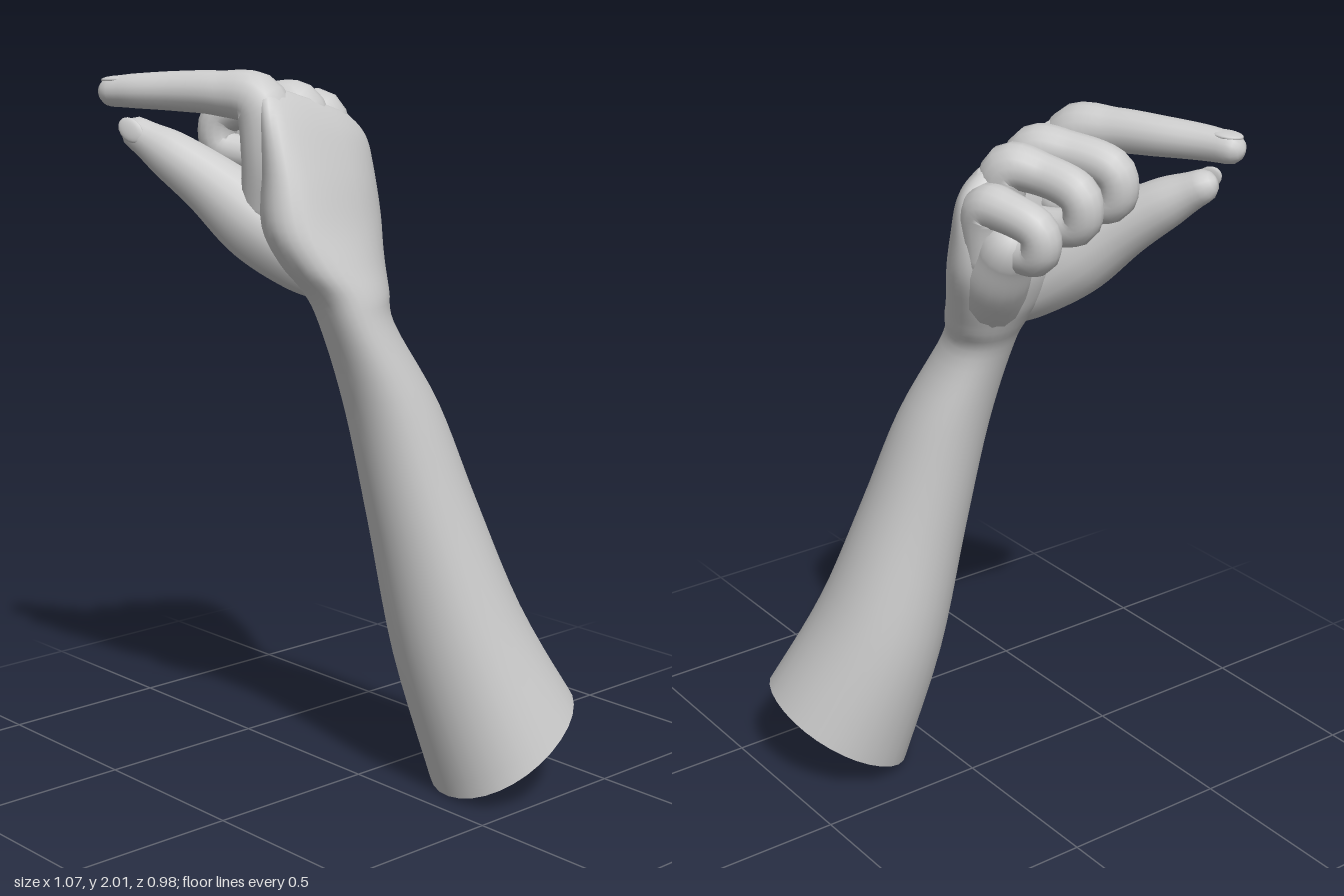
import * as THREE from 'three';

const material = new THREE.MeshStandardMaterial({ color: 0xcccccc, side: THREE.DoubleSide });

// Smooth interpolation through rows of numbers, t in 0..1
function spline(rows, t) {
  const n = rows.length - 1;
  const i = Math.min(Math.floor(t * n), n - 1);
  const f = t * n - i;
  const a = rows[Math.max(i - 1, 0)], b = rows[i], c = rows[i + 1], d = rows[Math.min(i + 2, n)];
  return b.map((v, k) => v + 0.5 * f * (c[k] - a[k] + f * (2 * a[k] - 5 * v + 4 * c[k] - d[k]
    + f * (3 * (v - c[k]) + d[k] - a[k]))));
}

// Skin over a list of closed rings with equal point counts
function loft(name, rings) {
  const n = rings[0].length, index = [];
  for (let i = 0; i < rings.length - 1; i++) {
    for (let j = 0; j < n; j++) {
      const k = (j + 1) % n;
      const a = i * n + j, b = i * n + k, c = a + n, d = b + n;
      index.push(a, c, b, b, c, d);
    }
  }
  const geometry = new THREE.BufferGeometry().setFromPoints(rings.flat());
  geometry.setIndex(index);
  geometry.computeVertexNormals();
  const mesh = new THREE.Mesh(geometry, material);
  mesh.name = name;
  return mesh;
}

// All points of a ring drawn in to its centre
function collapse(ring) {
  const centre = new THREE.Vector3();
  ring.forEach((p) => centre.addScaledVector(p, 1 / ring.length));
  return ring.map(() => centre.clone());
}

// Cross-section: height, x range, z range, slopes in x and z, diagonal lean, squareness
function armRing([y, x0, x1, z0, z1, slopeX, slopeZ, lean, power], sides = 32) {
  const bend = (v) => Math.sign(v) * Math.abs(v) ** power;
  return Array.from({ length: sides }, (_, j) => {
    const a = (j / sides) * Math.PI * 2;
    const dx = bend(Math.cos(a)) * (x1 - x0) / 2;
    const dz = bend(Math.sin(a + lean)) * (z1 - z0) / 2;
    return new THREE.Vector3((x0 + x1) / 2 + dx, y + slopeX * dx + slopeZ * dz, (z0 + z1) / 2 + dz);
  });
}

// Round-ended finger through points [x, y, z, radius]
function finger(name, points, sides = 16, steps = 36) {
  const curve = new THREE.CatmullRomCurve3(points.map((p) => new THREE.Vector3(p[0], p[1], p[2])));
  const frames = curve.computeFrenetFrames(steps);
  const rings = [];
  const add = (i, scale, shift) => {
    const u = i / steps;
    const r = spline(points.map((p) => [p[3]]), curve.getUtoTmapping(u))[0];
    const centre = curve.getPointAt(u).addScaledVector(frames.tangents[i], shift * r);
    rings.push(Array.from({ length: sides }, (_, j) => {
      const a = (j / sides) * Math.PI * 2;
      return centre.clone()
        .addScaledVector(frames.normals[i], Math.cos(a) * r * scale)
        .addScaledVector(frames.binormals[i], -Math.sin(a) * r * scale);
    }));
  };
  const dome = [0, 0.3, 0.6, 0.85, 1].map((v) => v * Math.PI / 2);
  [...dome].reverse().forEach((a) => add(0, Math.cos(a), -Math.sin(a)));
  for (let i = 1; i < steps; i++) add(i, 1, 0);
  dome.forEach((a) => add(steps, Math.cos(a), Math.sin(a)));
  return loft(name, rings);
}

// Flat oval nail lying on a fingertip
function nail(name, position, along, normal, length, width) {
  const mesh = new THREE.Mesh(new THREE.SphereGeometry(1, 16, 10), material);
  const x = new THREE.Vector3(...along).normalize();
  const z = new THREE.Vector3().crossVectors(x, new THREE.Vector3(...normal)).normalize();
  const y = new THREE.Vector3().crossVectors(z, x);
  mesh.quaternion.setFromRotationMatrix(new THREE.Matrix4().makeBasis(x, y, z));
  mesh.scale.set(length, 0.01, width);
  mesh.position.set(...position);
  mesh.name = name;
  return mesh;
}

export function createModel() {
  const group = new THREE.Group();
  group.name = 'forearmAndHand';

  // Forearm, wrist and palm in one skin, from the open end to the knuckles
  const rows = [
    [0.125, 0.065, 0.535, -0.49, -0.065, 0.24, -0.6, 0.2, 0.97],
    [0.45, 0.005, 0.435, -0.36, 0.015, 0.15, -0.4, 0.2, 1],
    [0.8, -0.01, 0.345, -0.245, 0.075, 0.05, -0.25, 0.2, 1],
    [1.1, -0.035, 0.275, -0.155, 0.13, 0, -0.1, 0.25, 1],
    [1.33, -0.075, 0.215, -0.06, 0.2, 0, 0, 0.45, 1],
    [1.42, -0.12, 0.195, -0.075, 0.235, 0, 0, 0.45, 1],
    [1.5, -0.16, 0.165, -0.1, 0.295, 0, 0, 0.43, 1],
    [1.6, -0.19, 0.125, -0.13, 0.335, 0, 0, 0.45, 0.97],
    [1.72, -0.185, 0.08, -0.135, 0.325, 0, 0.1, 0.5, 0.92],
    [1.83, -0.165, 0.025, -0.13, 0.315, 0, 0.22, 0.5, 0.9],
    [1.89, -0.155, -0.02, -0.11, 0.295, 0, 0.3, 0.45, 0.9],
    [1.92, -0.135, -0.055, -0.06, 0.26, 0, 0.3, 0.4, 0.95],
  ];
  const rings = Array.from({ length: 56 }, (_, i) => armRing(spline(rows, i / 55)));
  group.add(loft('forearmAndPalm', [...rings, collapse(rings[55])]));

  // Fleshy pad on the little finger side of the palm
  group.add(finger('heelOfPalm', [
    [0.04, 1.38, 0.06, 0.07], [-0.06, 1.5, 0.01, 0.092], [-0.145, 1.6, -0.025, 0.09], [-0.21, 1.69, -0.04, 0.075],
  ]));

  // Straight index finger and thumb, nearly pinching
  group.add(finger('indexFinger', [
    [-0.1, 1.64, 0.23, 0.08], [-0.075, 1.78, 0.247, 0.078], [-0.1, 1.922, 0.262, 0.074], [-0.2, 1.942, 0.31, 0.061],
    [-0.32, 1.945, 0.365, 0.054], [-0.43, 1.943, 0.423, 0.047], [-0.495, 1.94, 0.448, 0.042],
  ]));
  group.add(finger('thumb', [
    [0.05, 1.42, 0.08, 0.06], [-0.04, 1.5, 0.155, 0.095], [-0.14, 1.595, 0.235, 0.108],
    [-0.255, 1.7, 0.31, 0.085], [-0.35, 1.775, 0.37, 0.068], [-0.43, 1.828, 0.415, 0.046],
  ]));
  group.add(nail('indexNail', [-0.485, 1.973, 0.445], [-0.9, -0.06, 0.38], [0, 1, 0], 0.045, 0.032));
  group.add(nail('thumbNail', [-0.415, 1.84, 0.452], [-0.75, 0.6, 0.3], [0.2, 0.3, 0.9], 0.042, 0.03));

  // Folded fingers
  group.add(finger('middleFinger', [
    [-0.09, 1.75, 0.09, 0.06], [-0.115, 1.9, 0.11, 0.067], [-0.2, 1.905, 0.165, 0.058],
    [-0.31, 1.87, 0.225, 0.056], [-0.31, 1.795, 0.23, 0.052], [-0.23, 1.77, 0.19, 0.05],
    [-0.16, 1.77, 0.15, 0.045],
  ]));
  group.add(finger('ringFinger', [
    [-0.12, 1.73, 0, 0.06], [-0.14, 1.877, 0.012, 0.066], [-0.22, 1.87, 0.065, 0.056],
    [-0.32, 1.83, 0.105, 0.055], [-0.315, 1.755, 0.11, 0.052], [-0.24, 1.735, 0.08, 0.05],
    [-0.17, 1.74, 0.05, 0.045],
  ]));
  group.add(finger('littleFinger', [
    [-0.14, 1.65, -0.06, 0.06], [-0.165, 1.795, -0.074, 0.062], [-0.235, 1.795, -0.055, 0.055],
    [-0.315, 1.757, -0.02, 0.053], [-0.305, 1.695, -0.015, 0.053], [-0.23, 1.685, -0.03, 0.053],
    [-0.17, 1.68, -0.045, 0.048],
  ]));
  return group;
}
